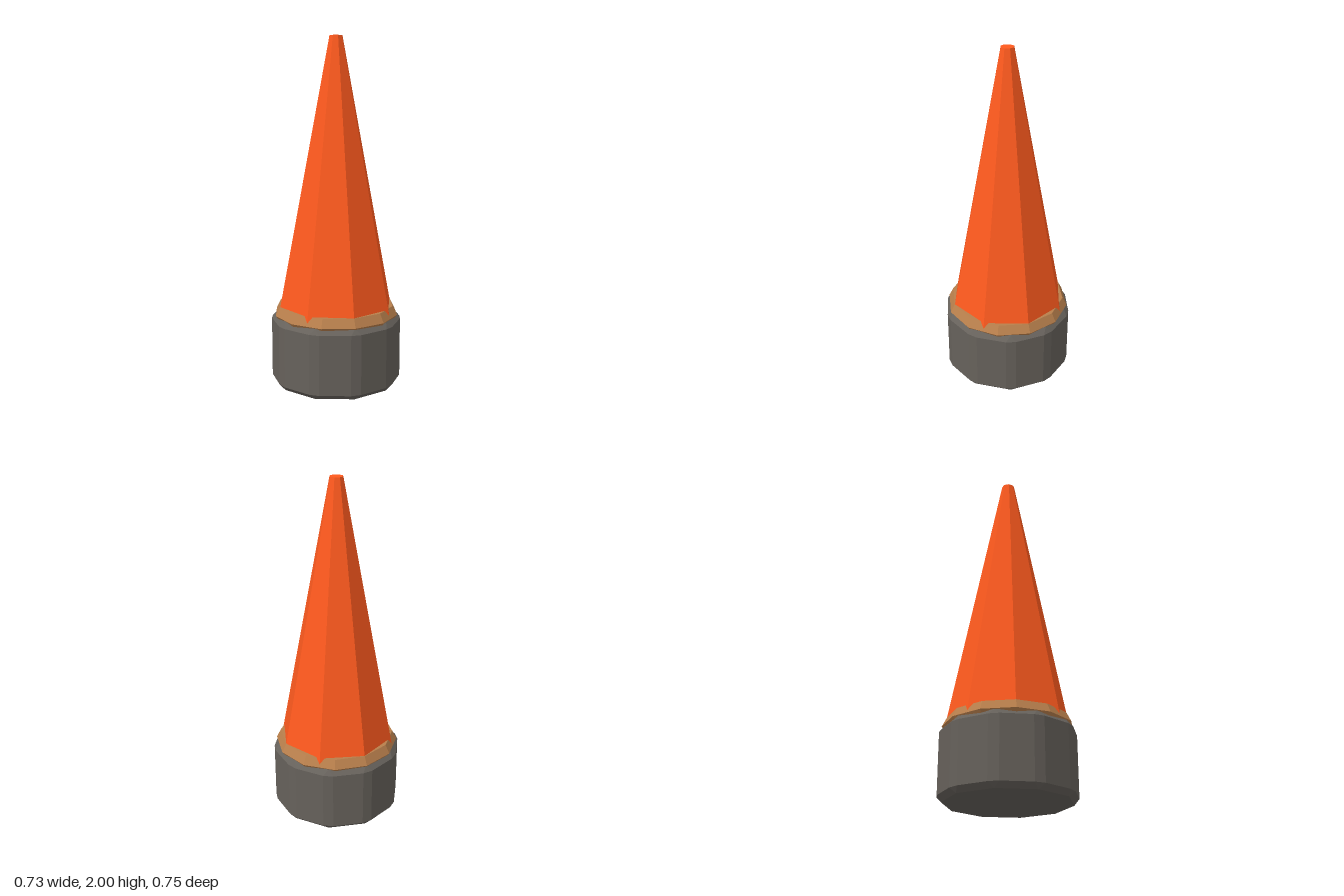
import * as THREE from 'three';
import { ConvexGeometry } from 'three/addons/geometries/ConvexGeometry.js';

function makeMesh(name, geometry, color) {
  const material = new THREE.MeshStandardMaterial({ color, flatShading: true });
  const mesh = new THREE.Mesh(geometry, material);
  mesh.name = name;
  return mesh;
}

// Corner i of a ten-sided prism, with one corner on +z
function corner(i, radius, y) {
  const a = (i / 10) * Math.PI * 2;
  return new THREE.Vector3(Math.sin(a) * radius, y, Math.cos(a) * radius);
}

// Ten-sided block with every edge chamfered
function chamferedBase() {
  const radius = 0.385, capRadius = 0.353, height = 0.405, bevel = 0.03, cut = 0.13;
  const points = [];
  for (let i = 0; i < 10; i++) {
    points.push(corner(i, capRadius, 0), corner(i, capRadius, height));
    for (const y of [bevel, height - bevel]) {
      const p = corner(i, radius, y);
      points.push(
        p.clone().lerp(corner(i - 1, radius, y), cut),
        p.clone().lerp(corner(i + 1, radius, y), cut)
      );
    }
  }
  return new ConvexGeometry(points);
}

export function createModel() {
  const group = new THREE.Group();
  group.name = 'spike';

  group.add(makeMesh('base', chamferedBase(), 0x66615b));

  // Twelve-sided collar between base and cone
  const profile = [[0.29, 0.37], [0.345, 0.385], [0.363, 0.41], [0.337, 0.461], [0.28, 0.461]]
    .map(([r, y]) => new THREE.Vector2(r, y));
  group.add(makeMesh('collar', new THREE.LatheGeometry(profile, 12), 0xb87f4c));

  // Eight-sided tapered cone with a small flat tip, sunk into the collar
  const bottom = 0.42, top = 2;
  const cone = new THREE.CylinderGeometry(0.038, 0.344, top - bottom, 8);
  cone.translate(0, (top + bottom) / 2, 0);
  group.add(makeMesh('cone', cone, 0xff5a1e));

  return group;
}
